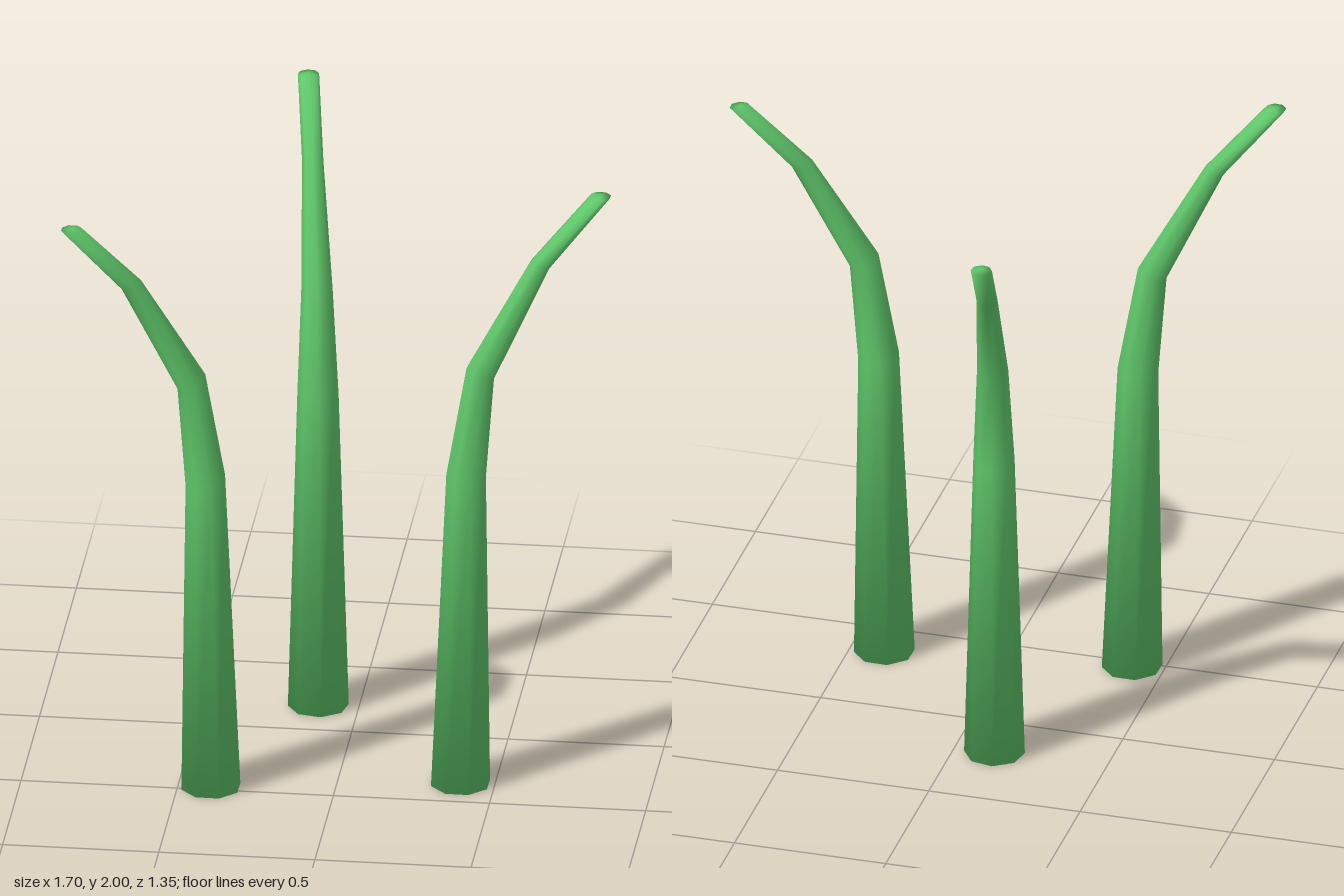
import * as THREE from 'three';

const SIDES = 8;
// Rings of one stalk: height, share of the lean, radius, tilt towards the lean
const RINGS = [
  [0, 0, 0.097, 0],
  [1.07, 0.04, 0.066, 0.17],
  [1.42, 0.14, 0.05, 0.42],
  [1.78, 0.57, 0.034, 0.35],
  [1.995, 1, 0.034, 0.04],
];

// Lofts a bent, tapering stalk from its base to its leaning tip
function stalkGeometry([bx, bz], [tx, tz]) {
  const lean = new THREE.Vector2(tx - bx, tz - bz);
  const reach = lean.length();
  const u = lean.clone().normalize();
  const pos = [], index = [];
  const add = (along, across, y) =>
    pos.push(bx + u.x * along - u.y * across, y, bz + u.y * along + u.x * across);

  for (const [y, t, r, tilt] of RINGS) {
    for (let i = 0; i < SIDES; i++) {
      const a = (i / SIDES) * Math.PI * 2;
      const c = r * Math.cos(a);
      add(t * reach + c * Math.cos(tilt), r * Math.sin(a), y - c * Math.sin(tilt));
    }
  }
  const last = (RINGS.length - 1) * SIDES;
  const bottom = RINGS.length * SIDES, top = bottom + 1;
  add(0, 0, 0);
  add(reach, 0, 2);

  for (let i = 0; i < SIDES; i++) {
    const j = (i + 1) % SIDES;
    for (let k = 0; k < last; k += SIDES) {
      const a = k + j, b = k + i, c = b + SIDES, d = a + SIDES;
      index.push(a, b, c, a, c, d);
    }
    index.push(bottom, i, j, top, last + j, last + i);
  }

  const geo = new THREE.BufferGeometry();
  geo.setAttribute('position', new THREE.Float32BufferAttribute(pos, 3));
  geo.setIndex(index);
  geo.computeVertexNormals();

  // Soften the end rims so the shading rolls over onto the caps
  const n = geo.attributes.normal;
  for (let i = 0; i < SIDES; i++) {
    n.setY(i, n.getY(i) - 0.7);
    n.setY(last + i, n.getY(last + i) + 0.5);
  }
  geo.normalizeNormals();
  return geo;
}

export function createModel() {
  const group = new THREE.Group();
  group.name = 'stalks';
  const green = new THREE.MeshStandardMaterial({ color: 0x5fc66a });

  // Base and tip of each stalk as [x, z]
  const stalks = {
    backStalk: [[-0.13, -0.193], [-0.215, -0.645]],
    leftStalk: [[0.39, 0.355], [0.819, 0.188]],
    rightStalk: [[-0.395, 0.475], [-0.822, 0.643]],
  };
  for (const [name, [base, tip]] of Object.entries(stalks)) {
    const mesh = new THREE.Mesh(stalkGeometry(base, tip), green);
    mesh.name = name;
    group.add(mesh);
  }
  return group;
}
